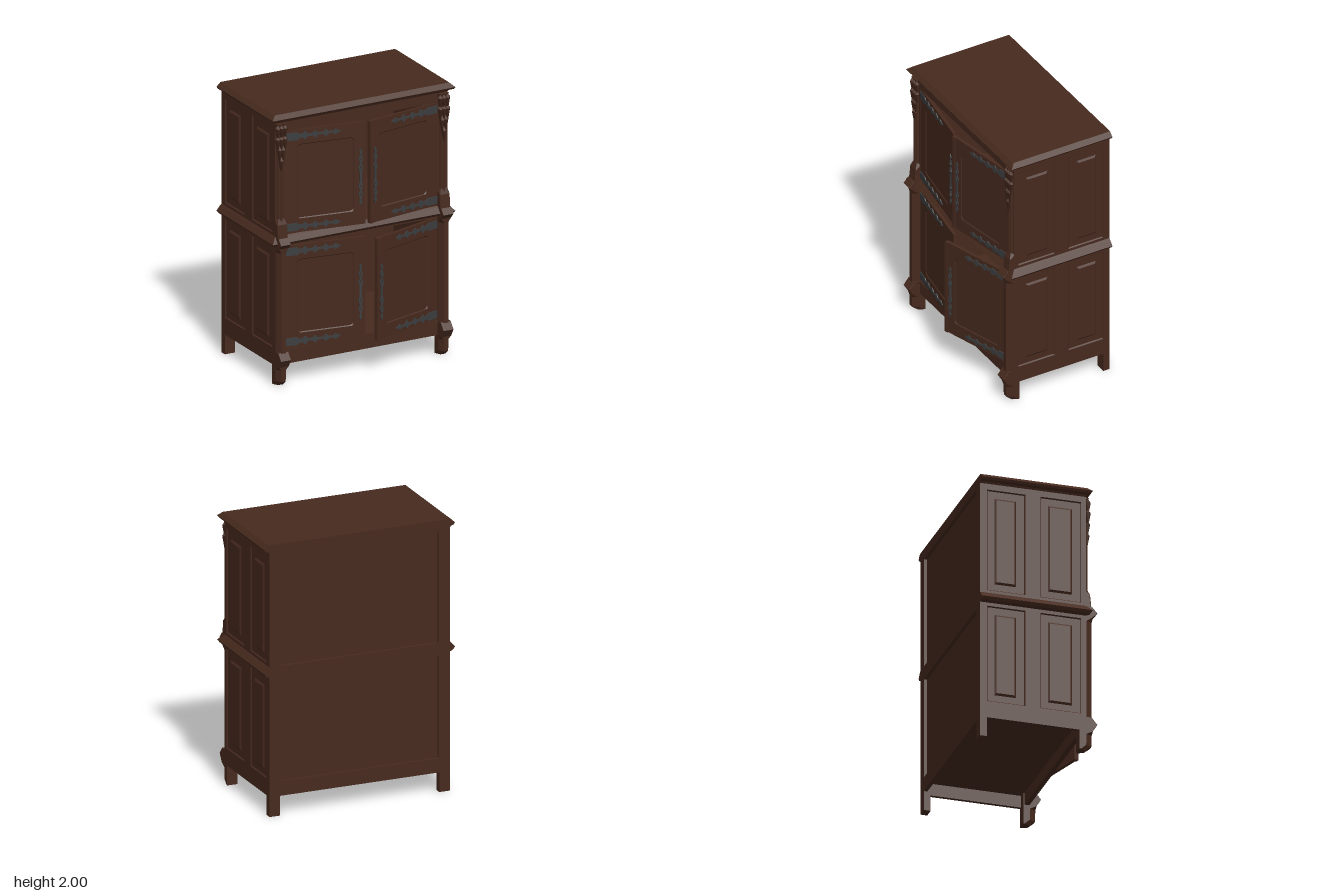
import * as THREE from 'three';

const wood = new THREE.MeshStandardMaterial({ color: 0x472a1e, name: 'dark wood' });
const iron = new THREE.MeshStandardMaterial({ color: 0x3c3e3f, name: 'dark iron' });

function add(parent, name, geometry, material = wood, x = 0, y = 0, z = 0) {
  const mesh = new THREE.Mesh(geometry, material);
  mesh.name = name;
  mesh.position.set(x, y, z);
  parent.add(mesh);
  return mesh;
}

// Box given by its limits
function block(parent, name, x0, x1, y0, y1, z0, z1) {
  return add(parent, name, new THREE.BoxGeometry(x1 - x0, y1 - y0, z1 - z0), wood,
    (x0 + x1) / 2, (y0 + y1) / 2, (z0 + z1) / 2);
}

// Faceted solid through a list of equal-length rings; the first end may stay open
function loft(rings, closeFirst = true) {
  const pos = [], n = rings[0].length;
  const tri = (a, b, c) => pos.push(...a, ...b, ...c);
  for (let k = 0; k + 1 < rings.length; k++) {
    for (let i = 0; i < n; i++) {
      const j = (i + 1) % n, lo = rings[k], hi = rings[k + 1];
      tri(lo[i], lo[j], hi[j]);
      tri(lo[i], hi[j], hi[i]);
    }
  }
  const first = rings[0], last = rings[rings.length - 1];
  for (let i = 1; i + 1 < n; i++) {
    tri(last[0], last[i], last[i + 1]);
    if (closeFirst) tri(first[0], first[i + 1], first[i]);
  }
  const g = new THREE.BufferGeometry();
  g.setAttribute('position', new THREE.Float32BufferAttribute(pos, 3));
  g.computeVertexNormals();
  return g;
}

// Rectangle outline, optionally with rounded corners
function rect([x0, x1, y0, y1], r = 0, Type = THREE.Shape) {
  const s = new Type();
  if (!r) {
    s.moveTo(x0, y0).lineTo(x1, y0).lineTo(x1, y1).lineTo(x0, y1).closePath();
    return s;
  }
  s.absarc(x0 + r, y0 + r, r, Math.PI, Math.PI * 1.5);
  s.absarc(x1 - r, y0 + r, r, Math.PI * 1.5, Math.PI * 2);
  s.absarc(x1 - r, y1 - r, r, 0, Math.PI / 2);
  s.absarc(x0 + r, y1 - r, r, Math.PI / 2, Math.PI);
  s.closePath();
  return s;
}

// Flat frame with openings; its face lies at z = 0
function frame(outer, holes, depth, r = 0) {
  const s = rect(outer);
  holes.forEach(h => s.holes.push(rect(h, r, THREE.Path)));
  const g = new THREE.ExtrudeGeometry(s, { depth, bevelEnabled: false, curveSegments: 4 });
  return g.translate(0, 0, -depth);
}

// Outline inset by d at height z, as a ring of points
const outline = ([x0, x1, y0, y1], r, d, z) =>
  rect([x0 + d, x1 - d, y0 + d, y1 - d], r).getPoints(4).map(p => [p.x, p.y, z]);

// Sunk panel with sloping edges, filling an opening of a frame
const sunkPanel = (hole, r, depth, slope) =>
  loft([outline(hole, r, 0, 0), outline(hole, r, slope, -depth)], false);

// Raised field with sloping edges
const raisedField = (area, z0, z1, slope) =>
  loft([outline(area, 0, 0, z0), outline(area, 0, slope, z1)], false);

// Moulding around the front and sides, flush at the back: [overhang, height]
function moulding(levels) {
  return loft(levels.map(([o, y]) => [
    [-0.685 - o, y, 0.3 + o], [0.685 + o, y, 0.3 + o], [0.685 + o, y, -0.47], [-0.685 - o, y, -0.47]]));
}

// Front post: [height, front z, depth of the corner chamfer]
function post(levels, back) {
  return loft(levels.map(([y, f, c]) => [[-0.04, y, back], [-0.04, y, f - c], [-0.04 + c * 0.5, y, f],
    [0.04 - c * 0.5, y, f], [0.04, y, f - c], [0.04, y, back]]));
}

// Symmetric iron plate along x from half-height points, pierced by diamonds
function plate(points, piercings, d = 1) {
  const all = [...points, ...points.slice(0, -1).reverse().map(([x, y]) => [x, -y])];
  const s = new THREE.Shape(all.map(([x, y]) => new THREE.Vector2(x * d, y)));
  for (const x of piercings) {
    s.holes.push(new THREE.Path([[-0.012, 0], [0, -0.007], [0.012, 0], [0, 0.007]]
      .map(([a, b]) => new THREE.Vector2(x * d + a, b))));
  }
  return new THREE.ExtrudeGeometry(s, { depth: 0.007, bevelEnabled: false });
}

const strapPoints = [[0, 0.027], [0.085, 0.029], [0.1, 0.016], [0.125, 0.014], [0.14, 0.03], [0.155, 0.024],
  [0.165, 0.008], [0.2, 0.01], [0.215, 0.028], [0.23, 0.02], [0.24, 0.007], [0.28, 0.008], [0.295, 0.028],
  [0.31, 0.02], [0.32, 0.007], [0.355, 0.008], [0.37, 0.022], [0.385, 0.012], [0.41, 0.002]];
const pullPoints = [[-0.21, 0.002], [-0.185, 0.011], [-0.165, 0.004], [-0.13, 0.016], [-0.1, 0.005], [-0.07, 0.017],
  [-0.03, 0.008], [0.03, 0.008], [0.07, 0.017], [0.1, 0.005], [0.13, 0.016], [0.165, 0.004], [0.185, 0.011], [0.21, 0.002]];

// Door hung at its own x = 0; d is the direction in which it extends
function door(name, d, y0, y1, angle) {
  const g = new THREE.Group();
  g.name = name;
  const span = (a, b) => (d > 0 ? [a, b] : [-b, -a]);
  const hole = [...span(0.092, 0.515), y0 + 0.1, y1 - 0.105];
  add(g, 'doorFrame', frame([...span(0, 0.6), y0, y1], [hole], 0.024, 0.025));
  add(g, 'doorPanel', sunkPanel(hole, 0.025, 0.006, 0.006));
  block(g, 'doorLining', ...span(0.08, 0.53), y0 + 0.09, y1 - 0.095, -0.022, -0.013);
  if (d < 0) block(g, 'coverStrip', ...span(0.575, 0.6), y0, y1, -0.012, 0.008);
  for (const y of [y0 + 0.042, y1 - 0.043]) add(g, 'hingeStrap', plate(strapPoints, [], d), iron, d * 0.005, y, 0);
  const pull = plate(pullPoints, [-0.13, -0.07, 0.07, 0.13]).rotateZ(Math.PI / 2);
  add(g, 'pullPlate', pull, iron, d > 0 ? 0.562 : -0.553, (y0 + y1) / 2 - 0.025, 0);
  g.position.set(-d * 0.605, 0, 0.295);
  g.rotation.y = -d * angle;
  return g;
}

export function createModel() {
  const model = new THREE.Group();
  model.name = 'cupboard';

  // Sides with two panels in each storey
  for (const s of [1, -1]) {
    const side = new THREE.Group();
    side.name = s > 0 ? 'leftSide' : 'rightSide';
    const u = (a, b) => (s > 0 ? [-b, -a] : [a, b]);
    const holes = [];
    for (const [z0, z1] of [[-0.03, 0.27], [-0.42, -0.14]]) {
      for (const [y0, y1] of [[0.27, 1.0], [1.12, 1.89]]) {
        holes.push([...u(z0, z1), y0, y1]);
        const field = [...u(z0 + 0.056, z1 - 0.068), y0 + 0.055, y1 - 0.06];
        add(side, 'raisedField', raisedField(field, -0.008, 0.002, 0.014));
      }
    }
    holes.forEach(h => add(side, 'sunkPanel', sunkPanel(h, 0, 0.008, 0.007)));
    add(side, 'sideFrame', frame([...u(-0.47, 0.3), 0.145, 1.94], holes, 0.025));
    block(side, 'sideLining', ...u(-0.46, 0.29), 0.16, 1.93, -0.024, -0.012);
    side.position.x = s * 0.685;
    side.rotation.y = s * Math.PI / 2;
    model.add(side);
  }

  // Back with one recessed panel in each storey
  const back = add(model, 'backFrame',
    frame([-0.685, 0.685, 0.145, 1.94], [[-0.6, 0.6, 0.25, 1.0], [-0.6, 0.6, 1.1, 1.92]], 0.025), wood, 0, 0, -0.47);
  back.rotation.y = Math.PI;
  block(model, 'backPanel', -0.67, 0.67, 0.16, 1.93, -0.448, -0.435);

  // Front frame, floor and mouldings
  add(model, 'frontFrame',
    frame([-0.685, 0.685, 0.145, 1.94], [[-0.605, 0.605, 0.255, 1.015], [-0.605, 0.605, 1.1, 1.865]], 0.035), wood, 0, 0, 0.3);
  block(model, 'sillStrip', -0.605, 0.605, 0.235, 0.252, 0.29, 0.308);
  block(model, 'floor', -0.67, 0.67, 0.235, 0.255, -0.45, 0.28);
  add(model, 'middleMoulding', moulding([[0, 1.025], [0.025, 1.035], [0.04, 1.055], [0.01, 1.09], [0, 1.1]]));
  add(model, 'cornice', moulding([[0, 1.935], [0.008, 1.948], [0.03, 1.955], [0.04, 1.97], [0.008, 2.0]]));

  // Legs and posts, with a carved pendant canopy on each upper post
  for (const s of [1, -1]) {
    const x = s * 0.645;
    block(model, 'backLeg', x - 0.04, x + 0.04, 0, 0.2, -0.47, -0.42);
    add(model, 'frontLeg', post([[0, 0.305, 0.04], [0.035, 0.348, 0.045], [0.12, 0.35, 0.045], [0.145, 0.352, 0.002],
      [0.2, 0.385, 0.002], [0.25, 0.345, 0.002]], 0.255), wood, x);
    add(model, 'lowerPost', post([[0.24, 0.35, 0.045], [0.985, 0.35, 0.045], [1.02, 0.352, 0.002],
      [1.055, 0.385, 0.002], [1.095, 0.35, 0.002]], 0.28), wood, x);
    add(model, 'upperPost', post([[1.09, 0.342, 0.006], [1.19, 0.332, 0.006], [1.23, 0.316, 0.034], [1.9, 0.316, 0.034],
      [1.93, 0.325, 0.01]], 0.28), wood, x);
    add(model, 'colonnette', new THREE.CylinderGeometry(0.013, 0.013, 0.42, 8), wood, x, 1.41, 0.311);
    const canopy = new THREE.Group();
    canopy.name = 'carvedCanopy';
    canopy.position.set(x, 0, 0.316);
    for (let t = 0; t < 4; t++) {
      const y = 1.9 - t * 0.08, n = t < 2 ? 3 : t === 2 ? 2 : 1;
      for (let i = 0; i < n; i++) {
        const px = (i - (n - 1) / 2) * 0.028;
        add(canopy, 'pendant', new THREE.ConeGeometry(0.022, 0.12, 4, 1).rotateX(Math.PI), wood, px, y - 0.06, 0.002);
        add(canopy, 'gable', new THREE.ConeGeometry(0.022, 0.03, 4, 1), wood, px, y + 0.015, 0.002);
      }
    }
    model.add(canopy);
  }

  // Doors, standing ajar
  model.add(door('upperRightDoor', 1, 1.105, 1.86, 0.145));
  model.add(door('upperLeftDoor', -1, 1.105, 1.86, 0.17));
  model.add(door('lowerRightDoor', 1, 0.26, 1.01, 0.14));
  model.add(door('lowerLeftDoor', -1, 0.26, 1.01, 0.29));
  return model;
}
